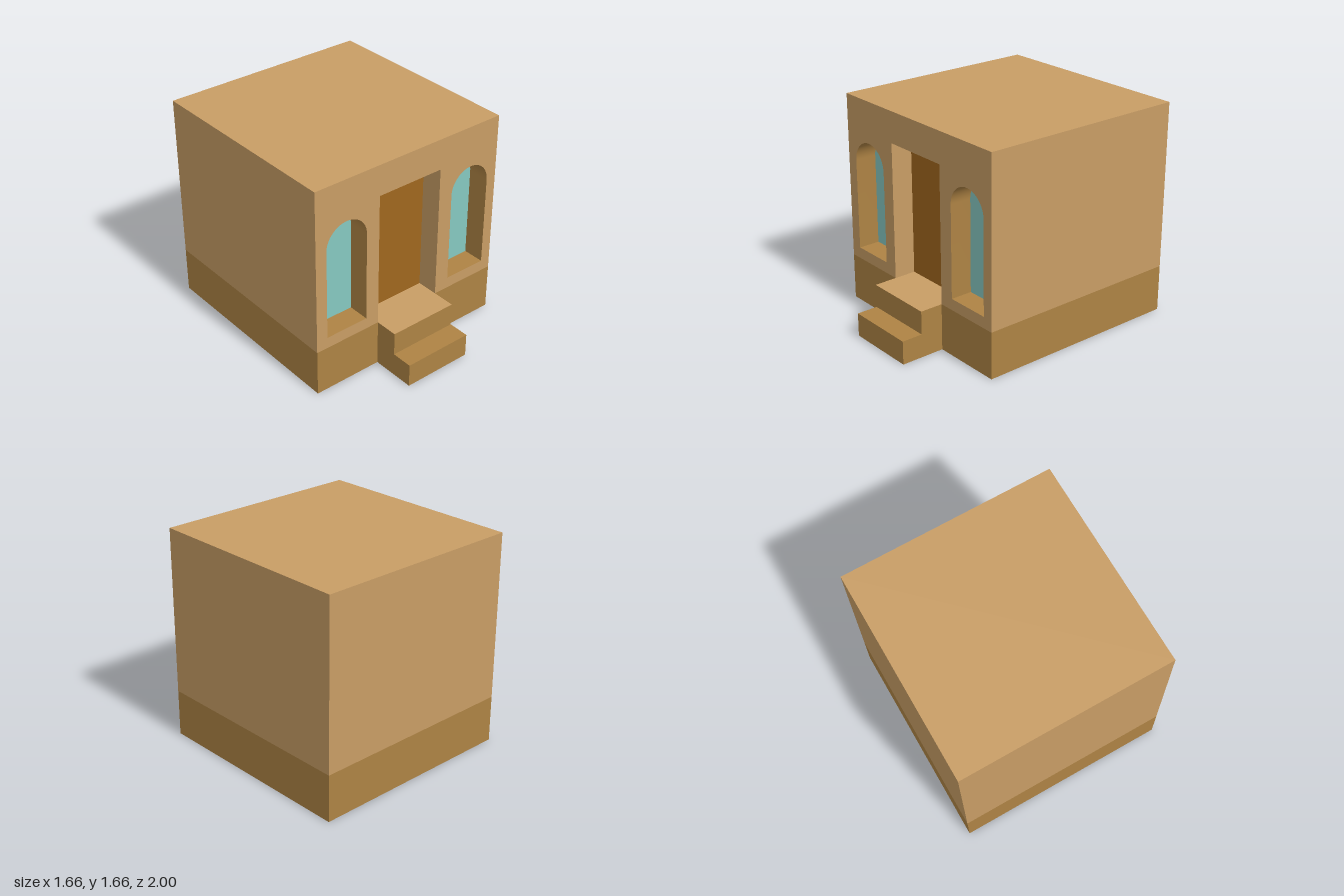
import * as THREE from 'three';
import { toCreasedNormals } from 'three/addons/utils/BufferGeometryUtils.js';

const W = 0.828, H = 1.657, BASE = 0.362;      // half width, height, plinth height
const FRONT = 0.655, BACK = -1, RECESS = 0.485; // z of facade, rear wall, door and glass
const DOOR_W = 0.277, DOOR_TOP = 1.417;

const paint = (color, side = THREE.FrontSide) => new THREE.MeshStandardMaterial({ color, side });
const wallMat = paint(0xc89d65, THREE.DoubleSide);
const baseMat = paint(0xae8344, THREE.DoubleSide);
const doorMat = paint(0xa0671e);
const glassMat = paint(0x86c8c0);

const v = (x, y) => new THREE.Vector2(x, y);

// Open strip that follows an xy outline and runs from z0 (front) to z1 (rear)
function strip(points, z0, z1) {
  const n = points.length;
  const geo = new THREE.PlaneGeometry(1, 1, n - 1, 1);
  const pos = geo.attributes.position;
  for (let i = 0; i < pos.count; i++) {
    const p = points[i % n];
    pos.setXYZ(i, p.x, p.y, i < n ? z0 : z1);
  }
  return toCreasedNormals(geo, Math.PI / 6);
}

// Round-headed window outline
function archShape(x) {
  const r = 0.175, sill = 0.45, spring = 1.16;
  const s = new THREE.Shape();
  s.moveTo(x - r, sill);
  s.lineTo(x + r, sill);
  s.absarc(x, spring, r, 0, Math.PI);
  s.closePath();
  return s;
}

export function createModel() {
  const model = new THREE.Group();
  model.name = 'house';
  const add = (name, geo, mat, x = 0, y = 0, z = 0) => {
    const mesh = new THREE.Mesh(geo, mat);
    mesh.name = name;
    mesh.position.set(x, y, z);
    model.add(mesh);
  };
  const block = (name, w, h, z0, z1, topMat) => add(name,
    new THREE.BoxGeometry(w, h, z1 - z0),
    [baseMat, baseMat, topMat, baseMat, baseMat, baseMat], 0, h / 2, (z0 + z1) / 2);

  // Plinth and entrance steps; the pale top also forms the doorway floor
  block('plinth', 2 * W, BASE, BACK, FRONT, wallMat);
  block('upperStep', 2 * DOOR_W, BASE, FRONT, 0.835, wallMat);
  block('lowerStep', 2 * DOOR_W, 0.182, 0.835, 1, baseMat);

  // Side walls with flat roof, and rear wall
  add('wallsAndRoof', strip([v(W, BASE), v(W, H), v(-W, H), v(-W, BASE)], FRONT, BACK), wallMat);
  const rear = new THREE.PlaneGeometry(2 * W, H - BASE).rotateY(Math.PI);
  add('rearWall', rear, wallMat, 0, (H + BASE) / 2, BACK);

  // Facade with a doorway notch and two arched openings
  const doorway = [v(-DOOR_W, BASE), v(-DOOR_W, DOOR_TOP), v(DOOR_W, DOOR_TOP), v(DOOR_W, BASE)];
  const facade = new THREE.Shape([v(W, BASE), v(W, H), v(-W, H), v(-W, BASE), ...doorway]);
  for (const [side, x] of [['right', -0.562], ['left', 0.571]]) {
    const arch = archShape(x);
    facade.holes.push(arch);
    add(side + 'WindowReveal', strip(arch.getPoints(24).reverse(), FRONT, RECESS), baseMat);
    add(side + 'WindowGlass', new THREE.ShapeGeometry(arch, 24), glassMat, 0, 0, RECESS);
  }
  add('facade', new THREE.ShapeGeometry(facade, 24), wallMat, 0, 0, FRONT);

  // Recessed door
  add('doorReveal', strip(doorway, FRONT, RECESS), wallMat);
  add('door', new THREE.PlaneGeometry(2 * DOOR_W, DOOR_TOP - BASE), doorMat,
    0, (DOOR_TOP + BASE) / 2, RECESS);

  return model;
}
